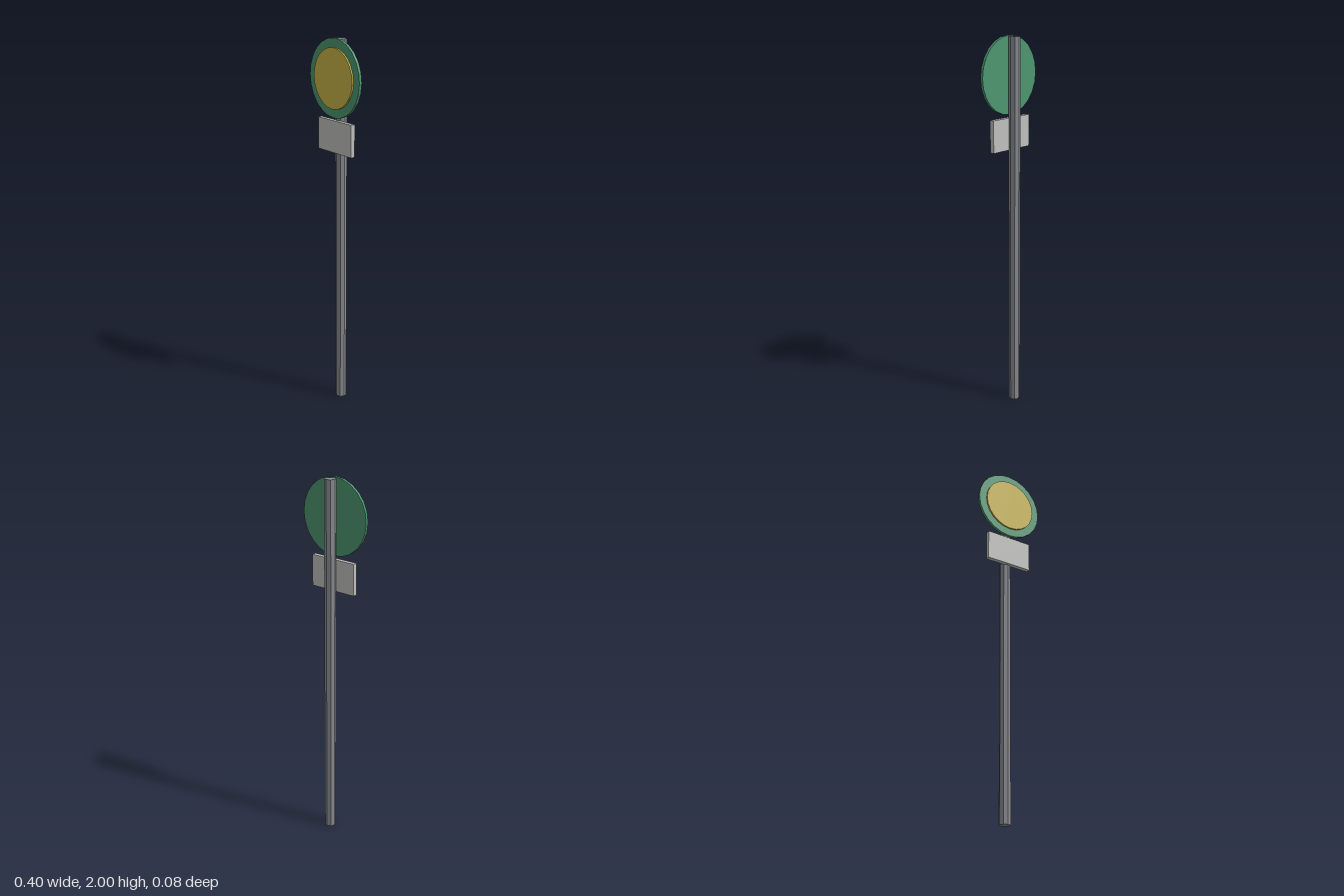
import * as THREE from 'three';

const material = (name, color) => {
  const m = new THREE.MeshStandardMaterial({ color });
  m.name = name;
  return m;
};

export function createModel() {
  const model = new THREE.Group();
  model.name = 'roadsideSign';

  const poleGrey = material('poleGrey', 0x8a8d91);
  const signGreen = material('signGreen', 0x4f9872);
  const signYellow = material('signYellow', 0xcab648);
  const plateGrey = material('plateGrey', 0xc2c2bf);

  const add = (name, geometry, mat, x, y, z) => {
    const mesh = new THREE.Mesh(geometry, mat);
    mesh.name = name;
    mesh.position.set(x, y, z);
    model.add(mesh);
  };

  // Faceted cylinder, split into flat-sided faces
  const faceted = (radius, length, sides) => {
    const g = new THREE.CylinderGeometry(radius, radius, length, sides).toNonIndexed();
    g.computeVertexNormals();
    return g;
  };
  // Upright disc facing +z, from zBack to zFront
  const addDisc = (name, radius, zBack, zFront, mat) =>
    add(name, faceted(radius, zFront - zBack, 24).rotateX(Math.PI / 2), mat, 0, 1.802, (zBack + zFront) / 2);

  // Octagonal pole, running up behind the sign
  add('pole', faceted(0.03, 1.995, 8), poleGrey, 0, 0.9975, -0.0135);

  // Round sign: green disc with a raised yellow face
  addDisc('signDisc', 0.198, 0.017, 0.032, signGreen);
  addDisc('signFace', 0.153, 0.032, 0.041, signYellow);

  // Small rectangular plate below the disc
  add('lowerPlate', new THREE.BoxGeometry(0.268, 0.166, 0.024), plateGrey, 0, 1.507, 0.018);

  return model;
}
